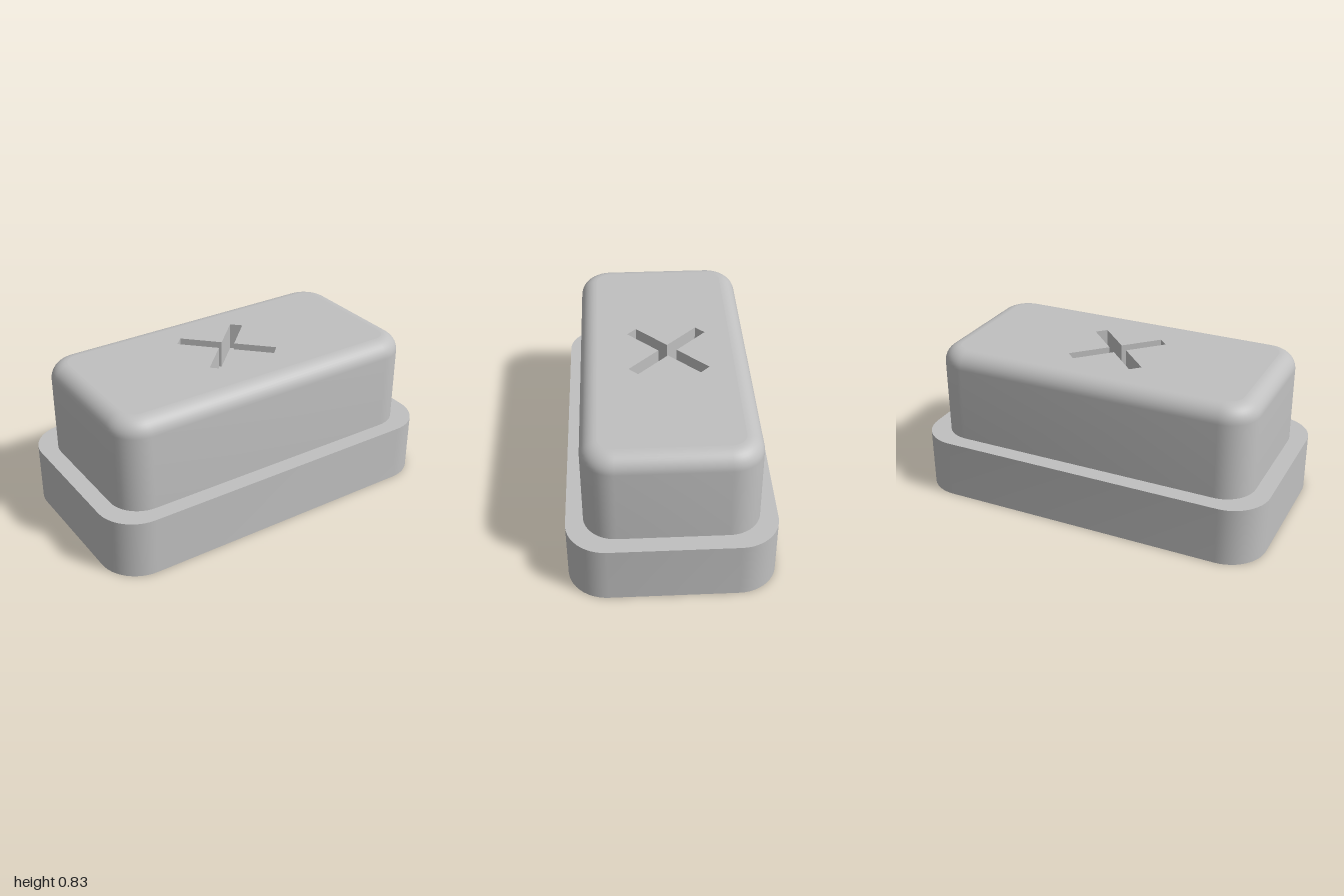
import * as THREE from 'three';
import { toCreasedNormals } from 'three/addons/utils/BufferGeometryUtils.js';

// Outline points are (x, z), running from +x towards +z
function roundedRect(hx, hz, r, steps = 12) {
  const pts = [];
  [[1, 1], [-1, 1], [-1, -1], [1, -1]].forEach(([sx, sz], q) => {
    for (let i = 0; i <= steps; i++) {
      const a = (q + i / steps) * Math.PI / 2;
      pts.push(new THREE.Vector2(sx * (hx - r) + r * Math.cos(a), sz * (hz - r) + r * Math.sin(a)));
    }
  });
  return pts;
}

function circle(r, n = 64) {
  return Array.from({ length: n }, (_, i) => {
    const a = i / n * Math.PI * 2;
    return new THREE.Vector2(r * Math.cos(a), r * Math.sin(a));
  });
}

// Diagonal cross: three corners per arm quarter, turned by 45 degrees
function cross(half, w, cz) {
  const pts = [];
  for (let q = 0; q < 4; q++) {
    for (const [x, z] of [[half, -w], [half, w], [w, w]]) {
      pts.push(new THREE.Vector2(x, z).rotateAround(new THREE.Vector2(), Math.PI / 4 + q * Math.PI / 2));
    }
  }
  return pts.map((p) => new THREE.Vector2(p.x, p.y + cz));
}

// Wall through rings { pts, y }: rising rings face outward, falling rings face inward
function wall(rings) {
  const n = rings[0].pts.length, pos = [], index = [];
  for (const { pts, y } of rings) for (const p of pts) pos.push(p.x, y, p.y);
  for (let k = 0; k < rings.length - 1; k++) {
    for (let i = 0; i < n; i++) {
      const j = (i + 1) % n, a = k * n + i, b = k * n + j, c = b + n, d = a + n;
      index.push(a, d, b, b, d, c);
    }
  }
  const g = new THREE.BufferGeometry();
  g.setAttribute('position', new THREE.Float32BufferAttribute(pos, 3));
  g.setIndex(index);
  return toCreasedNormals(g, 0.6);
}

// Horizontal face at height y with optional holes
function face(pts, y, up, holes = []) {
  const s = new THREE.Shape(pts);
  s.holes = holes.map((h) => new THREE.Path(h));
  const g = new THREE.ShapeGeometry(s);
  g.rotateX(Math.PI / 2).translate(0, y, 0);
  if (up) {
    g.setIndex(Array.from(g.index.array).reverse());
    g.computeVertexNormals();
  }
  return g;
}

export function createModel() {
  const model = new THREE.Group();
  model.name = 'buttonBlock';
  const grey = new THREE.MeshStandardMaterial({ color: 0xc0c0c0 });
  grey.name = 'lightGrey';
  const add = (name, geometry) => {
    const m = new THREE.Mesh(geometry, grey);
    m.name = name;
    model.add(m);
  };

  const baseY = 0.325, topY = 0.835, fillet = 0.09, corner = 0.17;
  const recessDepth = 0.1, slotY = topY - 0.15;
  const base = roundedRect(1, 0.545, 0.21);
  const body = roundedRect(0.907, 0.455, corner);
  const recess = circle(0.425);
  const slot = cross(0.268, 0.035, -0.017);

  // Base with a ledge around the body
  add('baseSide', wall([{ pts: base, y: 0 }, { pts: base, y: baseY }]));
  add('baseLedge', face(base, baseY, true, [body]));
  add('baseUnderside', face(base, 0, false, [recess]));

  // Round recess underneath
  add('recessWall', wall([{ pts: recess, y: recessDepth }, { pts: recess, y: 0 }]));
  add('recessCeiling', face(recess, recessDepth, false));

  // Body with a rounded upper edge
  const rings = [{ pts: body, y: baseY }];
  for (let i = 0; i <= 10; i++) {
    const a = i / 10 * Math.PI / 2, inset = fillet * (1 - Math.cos(a));
    rings.push({
      pts: roundedRect(0.907 - inset, 0.455 - inset, corner - inset),
      y: topY - fillet + fillet * Math.sin(a),
    });
  }
  add('bodySide', wall(rings));
  add('bodyTop', face(rings[rings.length - 1].pts, topY, true, [slot]));

  // Cross-shaped slot in the top
  add('slotWall', wall([{ pts: slot, y: topY }, { pts: slot, y: slotY }]));
  add('slotFloor', face(slot, slotY, true));

  return model;
}
